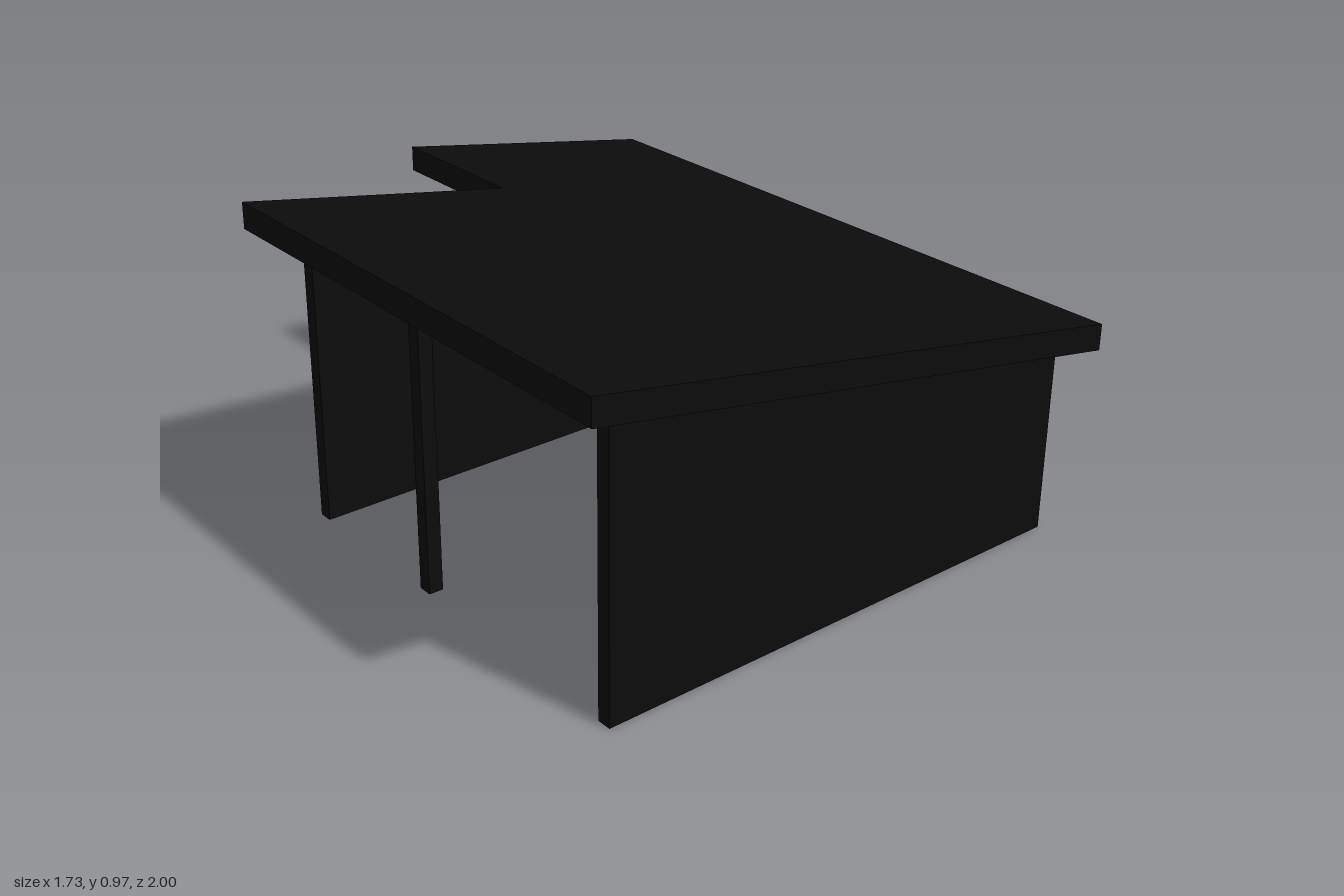
import * as THREE from 'three';

const SLOPE = -0.179;      // roof pitch along x
const ROOF_TOP = 0.81;     // roof top height at x = 0
const ROOF_DEPTH = 0.077;
const T = 0.043;           // wall and post thickness

const underside = (x) => ROOF_TOP - ROOF_DEPTH + SLOPE * x;

export function createModel() {
  const group = new THREE.Group();
  const material = new THREE.MeshStandardMaterial({ color: 0x0c0c0c });

  const add = (name, geometry) => {
    const mesh = new THREE.Mesh(geometry, material);
    mesh.name = name;
    group.add(mesh);
    return mesh;
  };

  // Upright panel or post whose top is cut to the roof pitch
  const upright = (name, x0, x1, z) => {
    const shape = new THREE.Shape([
      new THREE.Vector2(x0, 0),
      new THREE.Vector2(x1, 0),
      new THREE.Vector2(x1, underside(x1)),
      new THREE.Vector2(x0, underside(x0)),
    ]);
    const geometry = new THREE.ExtrudeGeometry(shape, { depth: T, bevelEnabled: false });
    add(name, geometry.translate(0, 0, z - T / 2));
  };

  // L-shaped roof slab, extruded in plan and then sheared to its pitch
  const plan = [[-0.867, -1], [0.865, -1], [0.865, 1], [-0.02, 1], [-0.02, 0.515], [-0.867, 0.515]];
  const roof = new THREE.ExtrudeGeometry(
    new THREE.Shape(plan.map(([x, y]) => new THREE.Vector2(x, y))),
    { depth: ROOF_DEPTH, bevelEnabled: false },
  );
  roof.rotateX(-Math.PI / 2);
  const pos = roof.attributes.position;
  for (let i = 0; i < pos.count; i++) pos.setY(i, pos.getY(i) + underside(pos.getX(i)));
  roof.computeVertexNormals();
  add('roof', roof);

  // Two full-width walls
  upright('frontWall', -0.735, 0.82, 0.87);
  upright('rearWall', -0.735, 0.82, -0.42);

  // Posts: a middle row of three and a back row of two
  const posts = [[-0.713, 0.095], [0.12, 0.095], [0.798, 0.095], [0.12, -0.92], [0.798, -0.92]];
  for (const [x, z] of posts) upright('post', x - T / 2, x + T / 2, z);

  return group;
}
